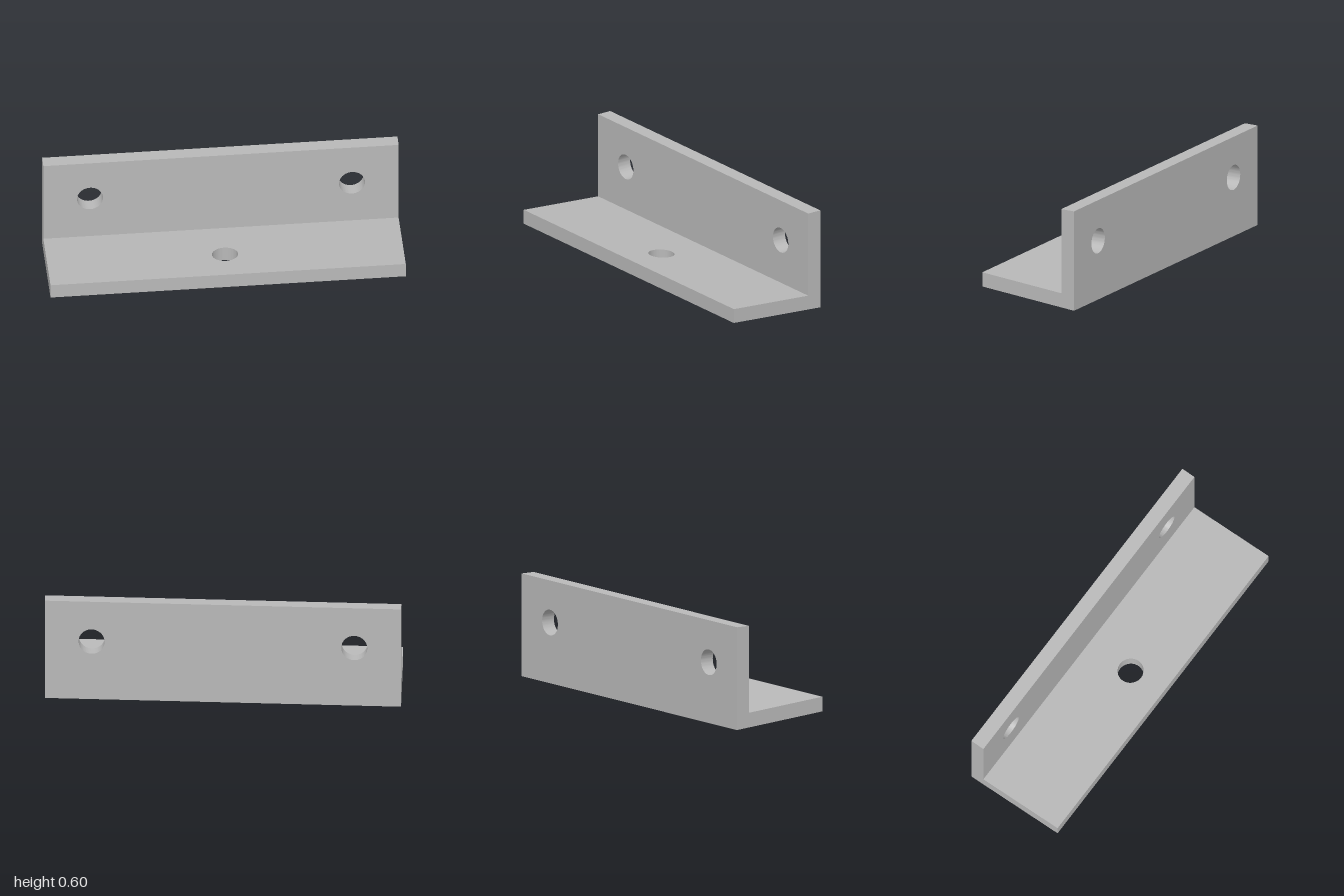
import * as THREE from 'three';
import { toCreasedNormals } from 'three/addons/utils/BufferGeometryUtils.js';

const LENGTH = 1.915, HEIGHT = 0.56, DEPTH = 0.575, THICK = 0.08;
const HOLE_RADIUS = 0.07;
const SLOPE = 0.075; // rise of the base plate away from the wall

// Rectangular plate along x, drilled with round holes
function drilledPlate(y0, y1, holes) {
  const h = LENGTH / 2;
  const shape = new THREE.Shape([
    new THREE.Vector2(-h, y0), new THREE.Vector2(h, y0),
    new THREE.Vector2(h, y1), new THREE.Vector2(-h, y1),
  ]);
  for (const [x, y] of holes) {
    shape.holes.push(new THREE.Path().absarc(x, y, HOLE_RADIUS, 0, Math.PI * 2, true));
  }
  return new THREE.ExtrudeGeometry(shape, { depth: THICK, bevelEnabled: false, curveSegments: 32 });
}

// Tilt everything near the base by the slope; the wall top stays level
function slopeBase(geometry) {
  const p = geometry.attributes.position;
  for (let i = 0; i < p.count; i++) {
    if (p.getY(i) < 0.1) p.setY(i, p.getY(i) + SLOPE * p.getZ(i));
  }
}

export function createModel() {
  const group = new THREE.Group();
  group.name = 'angleBracket';
  const steel = new THREE.MeshStandardMaterial({ color: 0xb8b8b8 });
  steel.name = 'grey steel';

  // Placement: turned in plan, with a slight rise along the length
  const placement = new THREE.Matrix4().makeBasis(
    new THREE.Vector3(0.95, 0.0188, 0.311),
    new THREE.Vector3(0, 1, 0),
    new THREE.Vector3(-0.311, 0, 0.95),
  ).setPosition(0.09, 0.018, -0.274);

  function addPart(name, geometry) {
    slopeBase(geometry);
    geometry.applyMatrix4(placement);
    const mesh = new THREE.Mesh(toCreasedNormals(geometry, 0.5), steel);
    mesh.name = name;
    group.add(mesh);
  }

  // Upright wall with two mounting holes
  addPart('wallPlate', drilledPlate(0, HEIGHT, [-1, 1].map((s) => [s * 0.706, 0.331])));

  // Base plate with one central hole
  const base = drilledPlate(THICK, DEPTH, [[0, 0.358]]);
  base.rotateX(Math.PI / 2).translate(0, THICK, 0);
  addPart('basePlate', base);

  return group;
}
